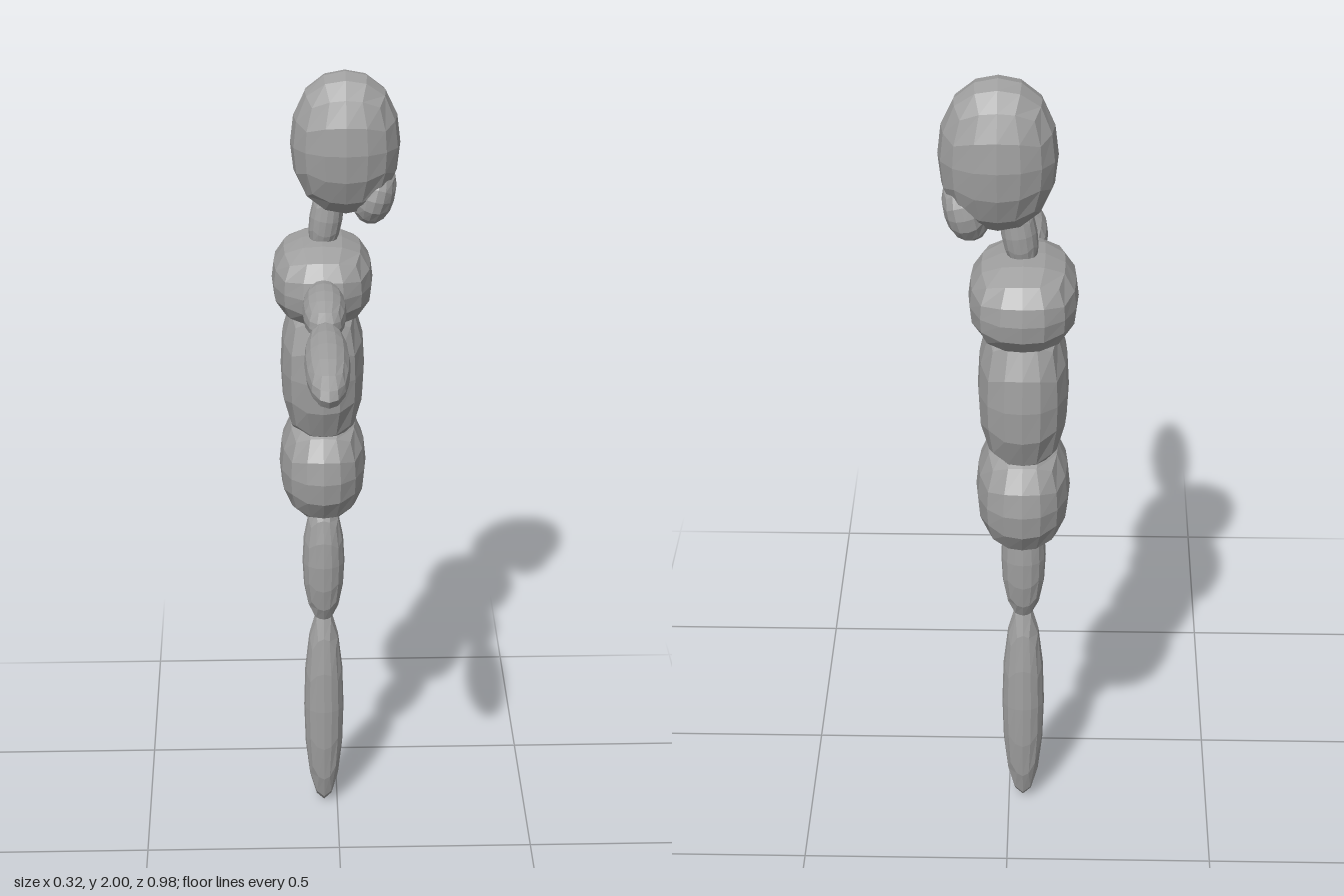
import * as THREE from 'three';

// Faceted quad ball: a subdivided cube pushed out onto a (slightly boxy) ellipsoid.
// power 2 is a true ellipsoid, larger values are squarer.
function quadBall(radii, power) {
  const geometry = new THREE.BoxGeometry(2, 2, 2, 4, 4, 4);
  const pos = geometry.attributes.position;
  const v = new THREE.Vector3();
  for (let i = 0; i < pos.count; i++) {
    v.fromBufferAttribute(pos, i);
    // even angular spacing of the facets
    v.set(...v.toArray().map((c) => Math.tan((c * Math.PI) / 4)));
    const size = v.toArray().reduce((sum, c) => sum + Math.abs(c) ** power, 0) ** (1 / power);
    v.divideScalar(size);
    pos.setXYZ(i, v.x * radii[0], v.y * radii[1], v.z * radii[2]);
  }
  geometry.computeVertexNormals();
  return geometry;
}

export function createModel() {
  const model = new THREE.Group();
  model.name = 'segmentedFigure';

  const grey = new THREE.MeshStandardMaterial({ color: 0xa0a0a0, flatShading: true });
  grey.name = 'grey';

  // name, centre, radii, squareness, sideways tilt
  const parts = [
    // head and neck
    ['head', [0.022, 1.822, -0.32], [0.134, 0.178, 0.116], 2.2, 0],
    ['jaw', [0.093, 1.695, -0.32], [0.052, 0.078, 0.085], 2.2, -0.25],
    ['neck', [-0.025, 1.63, -0.318], [0.041, 0.1, 0.043], 2.1, -0.15],
    // torso
    ['chest', [-0.035, 1.475, -0.32], [0.125, 0.107, 0.17], 2.5, 0],
    ['abdomen', [-0.035, 1.245, -0.317], [0.105, 0.205, 0.154], 2.5, 0],
    ['pelvis', [-0.035, 0.975, -0.318], [0.11, 0.15, 0.165], 2.3, 0],
    // arm reaching forward
    ['upperArm', [-0.035, 1.492, -0.045], [0.053, 0.053, 0.145], 2.1, 0],
    ['forearm', [-0.035, 1.492, 0.275], [0.053, 0.053, 0.216], 2.1, 0],
    // standing leg
    ['thigh', [-0.035, 0.725, -0.238], [0.054, 0.18, 0.055], 2.1, 0],
    ['shin', [-0.035, 0.297, -0.238], [0.052, 0.297, 0.052], 2.1, 0],
  ];

  for (const [name, centre, radii, power, tilt] of parts) {
    const mesh = new THREE.Mesh(quadBall(radii, power), grey);
    mesh.name = name;
    mesh.position.set(...centre);
    mesh.rotation.z = tilt;
    model.add(mesh);
  }
  return model;
}
